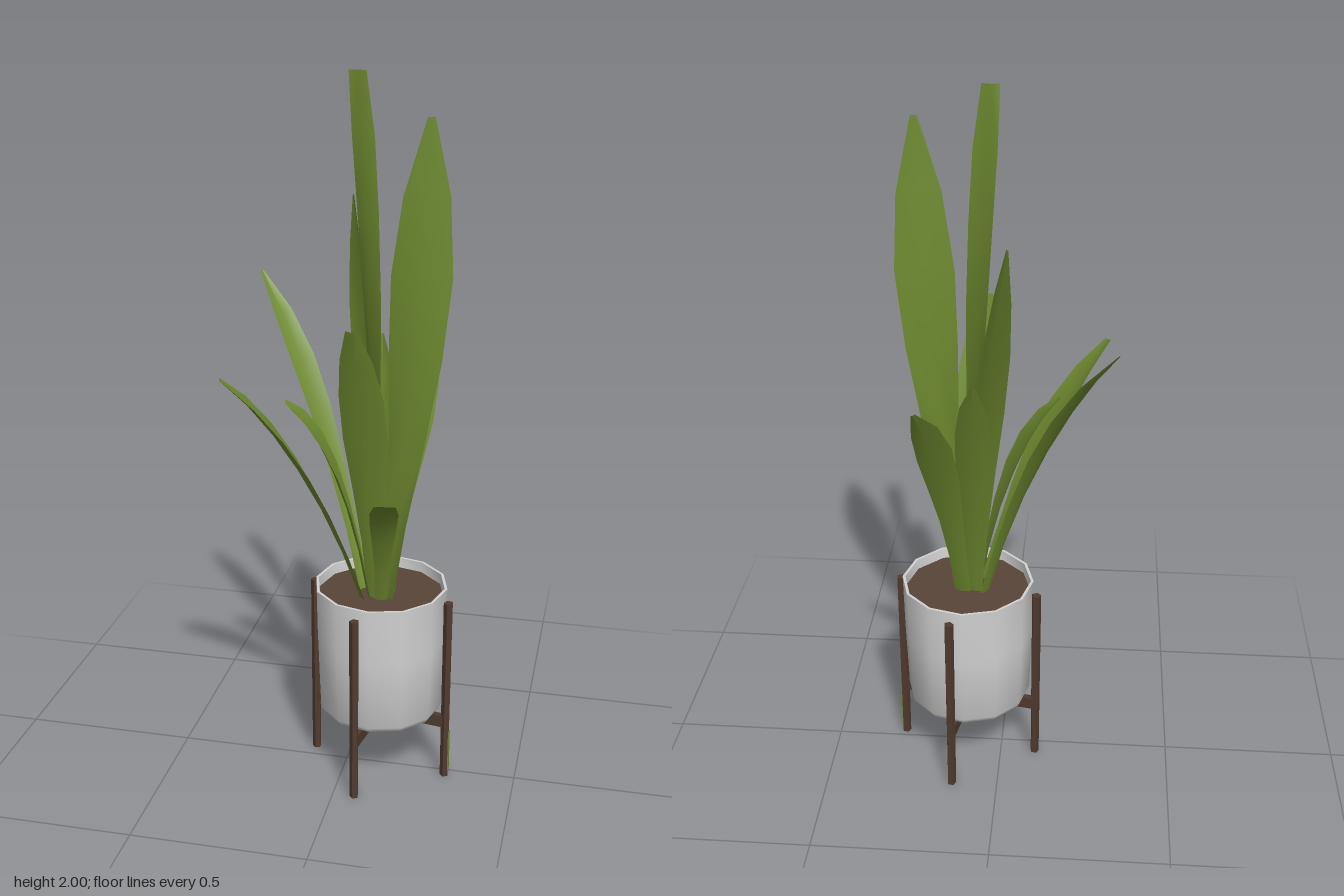
import * as THREE from 'three';
import { toCreasedNormals } from 'three/addons/utils/BufferGeometryUtils.js';

const CX = 0.0975, CZ = -0.01; // centre of pot and stand

const material = (name, color, side = THREE.FrontSide) => {
  const m = new THREE.MeshStandardMaterial({ color, side });
  m.name = name;
  return m;
};

// Relative blade widths from base to tip
const POINTED = [0.45, 0.52, 0.7, 0.92, 1, 0.75, 0.12];
const BLUNT = [0.45, 0.55, 0.78, 1, 0.98, 0.72, 0.25];
const STRAP = [0.75, 0.85, 1, 1, 0.9, 0.8, 0.55];

// Leaf blade: an arc from the soil to the tip with a shallow V section.
// reach and rise say how far out and up its middle is; angle turns the blade's width about y,
// and twist is how much that angle changes from base to tip.
function leafGeometry({ tip, reach, rise, width, angle, twist = 0, tilt = 0, shape }) {
  const end = new THREE.Vector3(...tip);
  const base = new THREE.Vector3(0.098, 0.54, 0.004);
  base.x += (end.x - base.x) * 0.12;
  base.z += (end.z - base.z) * 0.1;
  const out = 2 * reach - 0.5, up = 2 * rise - 0.5;
  const control = end.clone().sub(base).multiply(new THREE.Vector3(out, up, out)).add(base);
  const curve = new THREE.QuadraticBezierCurve3(base, control, end);

  const pos = [], index = [];
  shape.forEach((k, i) => {
    const t = i / (shape.length - 1);
    const a = THREE.MathUtils.degToRad(angle + twist * (t - 0.5));
    const across = new THREE.Vector3(Math.cos(a), tilt, Math.sin(a)).multiplyScalar(width * k);
    const c = curve.getPoint(t);
    const normal = curve.getTangent(t).cross(across).normalize();
    if (normal.y < 0) normal.negate();
    for (const s of [-0.5, 0, 0.5]) {
      const p = c.clone().addScaledVector(across, s);
      p.addScaledVector(normal, (Math.abs(s) - 0.25) * 0.24 * width * k);
      pos.push(p.x, p.y, p.z);
    }
    if (i === 0) return;
    for (let j = 0; j < 2; j++) {
      const d = i * 3 + j, b = d - 3;
      index.push(b, b + 1, d + 1, b, d + 1, d);
    }
  });
  const g = new THREE.BufferGeometry();
  g.setAttribute('position', new THREE.Float32BufferAttribute(pos, 3));
  g.setIndex(index);
  g.computeVertexNormals();
  return g;
}

export function createModel() {
  const root = new THREE.Group();
  root.name = 'pottedPlant';
  const leafGreen = material('leaf green', 0x6f8b30, THREE.DoubleSide);
  const potGrey = material('pot grey', 0xd2d2d2, THREE.DoubleSide);
  const soilBrown = material('soil brown', 0x5a4539);
  const woodBrown = material('wood brown', 0x503a2e);

  const group = name => {
    const g = new THREE.Group();
    g.name = name;
    root.add(g);
    return g;
  };
  const add = (parent, name, geometry, mat, x = 0, y = 0, z = 0) => {
    const mesh = new THREE.Mesh(geometry, mat);
    mesh.name = name;
    mesh.position.set(x, y, z);
    parent.add(mesh);
  };

  // Pot with a thin rim, slightly tapered
  const profile = [[0, 0.2], [0.172, 0.2], [0.18, 0.215], [0.187, 0.42], [0.19, 0.585], [0.182, 0.585], [0.179, 0.54]]
    .map(p => new THREE.Vector2(...p));
  add(root, 'pot', toCreasedNormals(new THREE.LatheGeometry(profile, 12), 1.2), potGrey, CX, 0, CZ);
  add(root, 'soil', new THREE.CylinderGeometry(0.18, 0.18, 0.02, 12), soilBrown, CX, 0.545, CZ);

  // Stand: four legs and two crossed bars
  const stand = group('stand');
  stand.position.set(CX, 0, CZ);
  stand.rotation.y = -0.175;
  for (let i = 0; i < 4; i++) {
    const a = i * Math.PI / 2;
    const leg = toCreasedNormals(new THREE.CylinderGeometry(0.014, 0.013, 0.56, 5), 0.5);
    add(stand, 'leg', leg, woodBrown, Math.cos(a) * 0.203, 0.28, Math.sin(a) * 0.203);
  }
  add(stand, 'crossBar', new THREE.BoxGeometry(0.4, 0.036, 0.018), woodBrown, 0, 0.18, 0);
  add(stand, 'crossBar', new THREE.BoxGeometry(0.018, 0.036, 0.4), woodBrown, 0, 0.179, 0);
  add(stand, 'legFleck', new THREE.BoxGeometry(0.003, 0.13, 0.008), leafGreen, 0.2152, 0.085, 0.003);

  // Leaves, tallest first
  const foliage = group('foliage');
  const leaf = (name, options) => add(foliage, name, leafGeometry(options), leafGreen);
  leaf('tallLeaf', { tip: [0.027, 2, -0.003], reach: 0.42, rise: 0.6, width: 0.085, angle: 45, twist: -80, shape: STRAP });
  leaf('broadLeaf', { tip: [0.23, 1.9, 0.08], reach: 0.68, rise: 0.54, width: 0.16, angle: 8, twist: -70, shape: POINTED });
  leaf('backLeaf', { tip: [-0.03, 1.65, -0.215], reach: 0.5, rise: 0.58, width: 0.12, angle: 45, twist: 40, shape: POINTED });
  leaf('longBackLeaf', { tip: [-0.31, 1.41, -0.275], reach: 0.44, rise: 0.59, width: 0.08, angle: -49, shape: POINTED });
  leaf('frontLeaf', { tip: [0.055, 1.38, 0.206], reach: 0.52, rise: 0.61, width: 0.13, angle: 11, shape: BLUNT });
  leaf('innerLeaf', { tip: [0.06, 1.27, -0.185], reach: 0.45, rise: 0.59, width: 0.115, angle: 28, shape: POINTED });
  leaf('longFrontLeaf', { tip: [-0.283, 1.24, 0.238], reach: 0.46, rise: 0.61, width: 0.112, angle: 58, tilt: -0.2, shape: BLUNT });
  leaf('backLeftLeaf', { tip: [0.205, 1.23, -0.272], reach: 0.42, rise: 0.6, width: 0.105, angle: 22, tilt: -0.6, shape: POINTED });
  leaf('sideLeaf', { tip: [-0.155, 1.135, 0.068], reach: 0.42, rise: 0.66, width: 0.109, angle: 74, tilt: -0.2, shape: BLUNT });
  leaf('lowFrontLeaf', { tip: [0.16, 0.94, 0.272], reach: 0.45, rise: 0.69, width: 0.078, angle: -9, shape: POINTED });

  return root;
}
